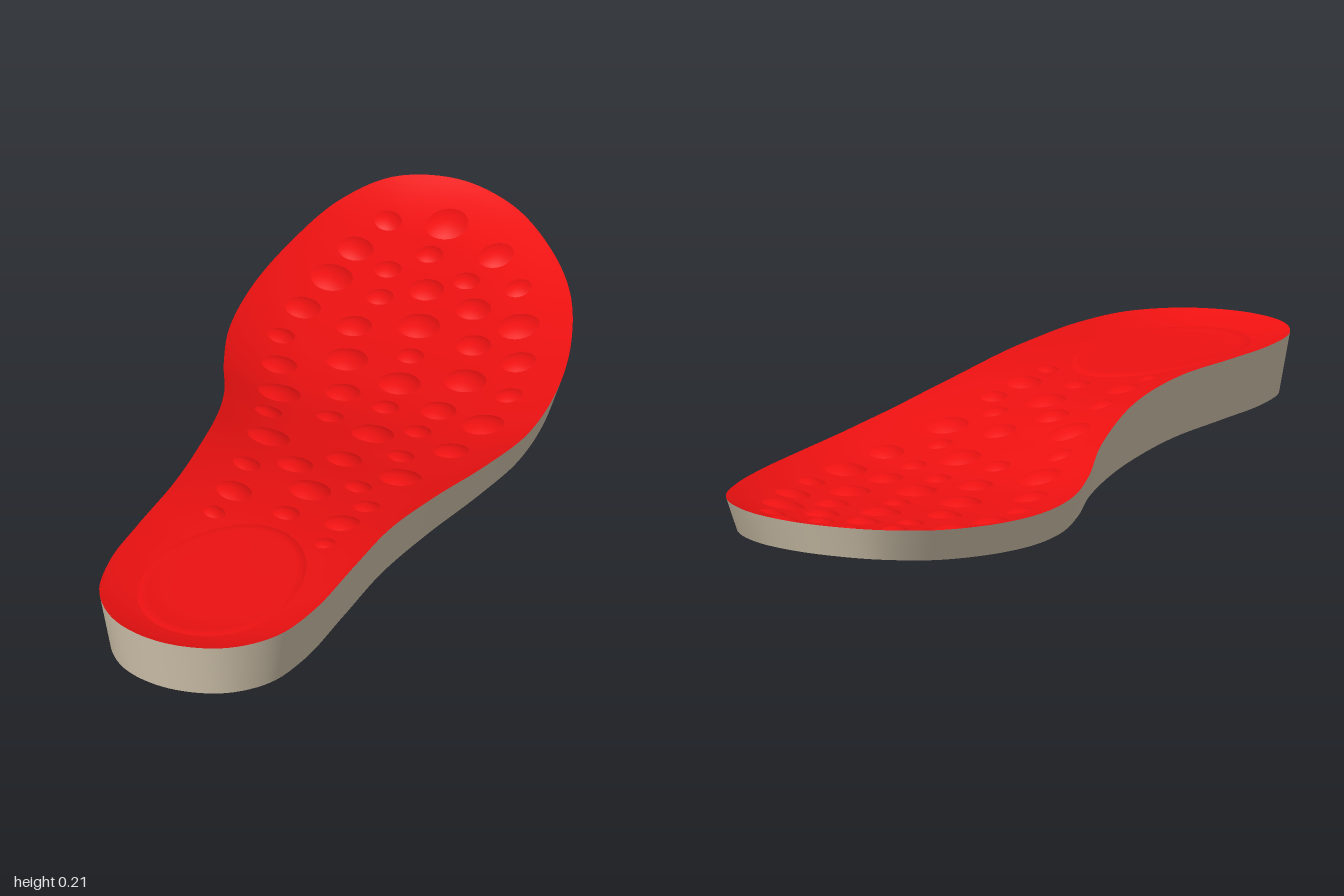
import * as THREE from 'three';

const SEG = 240;
const V = (x, y, z) => new THREE.Vector3(x, y, z);

// Smooth function of z through evenly or unevenly spaced samples
function profile(zs, values) {
  const f = new THREE.CubicInterpolant(zs, values, 1);
  return z => f.evaluate(THREE.MathUtils.clamp(z, zs[0], zs[zs.length - 1]))[0];
}

const Z = [-1, -0.8, -0.6, -0.4, -0.2, 0, 0.2, 0.4, 0.6, 0.8, 1];
const rimLeft = profile(Z, [0.13, 0.108, 0.094, 0.09, 0.098, 0.125, 0.16, 0.19, 0.204, 0.21, 0.213]);
const rimRight = profile(Z, [0.13, 0.108, 0.094, 0.091, 0.106, 0.147, 0.188, 0.205, 0.208, 0.21, 0.213]);
const baseEdge = profile(Z, [0.065, 0.04, 0.024, 0.017, 0.022, 0.036, 0.053, 0.067, 0.075, 0.08, 0.086]);
const spineX = profile([-0.8, -0.5, -0.2, 0, 0.3, 0.75], [-0.09, -0.02, 0.03, 0.07, 0.085, 0.09]);
const halfWidth = profile([-0.9, -0.5, -0.2, 0, 0.4, 0.9], [0.3, 0.36, 0.35, 0.295, 0.238, 0.22]);

// Foot outline, from the toe tip round the left side to the heel and back
const OUTLINE = [
  [-0.14, -1], [0, -0.965], [0.13, -0.87], [0.24, -0.74], [0.32, -0.57], [0.365, -0.4],
  [0.383, -0.22], [0.37, -0.05], [0.345, 0.15], [0.328, 0.35], [0.329, 0.55], [0.326, 0.75],
  [0.295, 0.88], [0.215, 0.967], [0.09, 1], [-0.03, 0.967], [-0.11, 0.88], [-0.144, 0.75],
  [-0.148, 0.6], [-0.147, 0.42], [-0.165, 0.25], [-0.195, 0.1], [-0.24, -0.04], [-0.305, -0.18],
  [-0.36, -0.33], [-0.385, -0.5], [-0.377, -0.68], [-0.34, -0.85], [-0.265, -0.96]
];
const curve = new THREE.CatmullRomCurve3(OUTLINE.map(([x, z]) => V(x, 0, z)), true);
const topOutline = [], baseOutline = [];
for (let i = 0; i < SEG; i++) {
  const p = curve.getPointAt(i / SEG), t = curve.getTangentAt(i / SEG);
  topOutline.push(p);
  baseOutline.push(V(p.x - t.z * 0.023, 0, p.z + t.x * 0.023));
}

const edgeDistance = (outline, x, z) =>
  Math.sqrt(outline.reduce((m, p) => Math.min(m, (p.x - x) ** 2 + (p.z - z) ** 2), 9));

// Dished footbed: rim heights blended across, sinking away from the rim
function topY(x, z) {
  const side = THREE.MathUtils.smoothstep((x - spineX(z)) / halfWidth(z), -1, 1);
  const rim = THREE.MathUtils.lerp(rimRight(z), rimLeft(z), side);
  const d = edgeDistance(topOutline, x, z);
  return rim - 0.03 * (1 - (1 - Math.min(d / 0.17, 1)) ** 2);
}

// Gently bulging underside
function baseY(x, z) {
  const d = edgeDistance(baseOutline, x, z);
  return baseEdge(z) - 0.016 * (1 - (1 - Math.min(d / 0.3, 1)) ** 2);
}

// Skin between closed rings of points
function loft(rings, flip = false) {
  const n = rings[0].length, pos = [], index = [];
  for (const ring of rings) for (const p of ring) pos.push(p.x, p.y, p.z);
  for (let j = 0; j < rings.length - 1; j++) {
    for (let i = 0; i < n; i++) {
      const a = j * n + i, b = j * n + (i + 1) % n, c = a + n, d = b + n;
      if (flip) index.push(a, c, b, b, c, d);
      else index.push(a, b, c, b, d, c);
    }
  }
  const g = new THREE.BufferGeometry();
  g.setAttribute('position', new THREE.Float32BufferAttribute(pos, 3));
  g.setIndex(index);
  g.computeVertexNormals();
  return g;
}

// Rings from the foot's centreline out to an outline
function footRings(outline, height, count) {
  return Array.from({ length: count + 1 }, (_, j) => outline.map(p => {
    const t = j / count, cz = p.z * 0.72;
    const x = THREE.MathUtils.lerp(spineX(cz), p.x, t), z = THREE.MathUtils.lerp(cz, p.z, t);
    return V(x, height(x, z), z);
  }));
}

// Low raised shape following the footbed; shape(angle) gives its edge offset
function raised(cx, cz, shape, rise, segments, count) {
  const rings = [];
  for (let j = 0; j <= count; j++) {
    const t = j / count;
    rings.push(Array.from({ length: segments }, (_, i) => {
      const [ox, oz] = shape(i / segments * Math.PI * 2);
      const x = cx + ox * t, z = cz + oz * t;
      return V(x, topY(x, z) + rise(t), z);
    }));
  }
  return loft(rings);
}

// Massage nubs grouped by radius, as [x, z]
const NUBS = [
  { r: 0.047, at: [[-0.11, -0.885], [-0.26, -0.63], [-0.02, -0.545], [0.175, -0.62], [0.155, -0.395],
    [-0.105, -0.365], [0.035, -0.325], [0.265, -0.245], [-0.165, -0.155], [0.08, -0.09],
    [-0.085, 0.075], [0.22, 0.075], [0.09, 0.25]] },
  { r: 0.04, at: [[0.03, -0.825], [-0.255, -0.74], [-0.06, -0.67], [0.06, -0.645], [-0.27, -0.505],
    [-0.145, -0.49], [0.115, -0.525], [0.23, -0.5], [-0.22, -0.275], [-0.055, -0.235], [0.155, -0.26],
    [0.255, -0.105], [0.015, 0.16], [-0.04, 0.35], [0.21, 0.35], [0.085, 0.065]] },
  { r: 0.031, at: [[-0.23, -0.85], [-0.105, -0.785], [-0.165, -0.705], [-0.14, -0.61], [0.005, -0.73],
    [0.12, -0.74], [0.01, -0.435], [-0.265, -0.385], [0.265, -0.375], [0.05, -0.22], [0.155, -0.155],
    [-0.03, -0.115], [-0.14, -0.045], [0.175, -0.025], [0.165, 0.17], [-0.065, 0.23], [0.22, 0.25],
    [0.09, 0.37]] },
  { r: 0.025, at: [[-0.04, 0.45], [0.215, 0.45]] }
];

export function createModel() {
  const group = new THREE.Group();
  const red = new THREE.MeshStandardMaterial({ color: 0xee1111 });
  const beige = new THREE.MeshStandardMaterial({ color: 0xd8cab2 });
  const add = (name, geometry, material, parent = group) => {
    const mesh = new THREE.Mesh(geometry, material);
    mesh.name = name;
    parent.add(mesh);
  };

  // Footbed and underside
  const topRings = footRings(topOutline, topY, 24);
  const baseRings = footRings(baseOutline, baseY, 12);
  add('footbed', loft(topRings), red);
  add('underside', loft(baseRings, true), beige);

  // Side wall, tapering in towards the ground
  const rim = topRings[24], edge = baseRings[12];
  const wall = [0, 0.5, 1].map(t => rim.map((p, i) => p.clone().lerp(edge[i], t)));
  add('sideWall', loft(wall), beige);

  // Egg-shaped heel pad
  const egg = a => [0.165 * Math.cos(a) * (1 + 0.1 * Math.sin(a)), 0.245 * Math.sin(a)];
  add('heelPad', raised(0.09, 0.68, egg, t => (t > 0.99 ? -0.002 : 0.004), 64, 16), red);

  // Massage nubs
  const nubs = new THREE.Group();
  nubs.name = 'massageNubs';
  for (const { r, at } of NUBS) {
    const circle = a => [r * Math.cos(a), r * Math.sin(a)];
    for (const [x, z] of at) {
      add('massageNub', raised(x, z, circle, t => 0.28 * r * (1 - t * t) - 0.001, 24, 5), red, nubs);
    }
  }
  group.add(nubs);
  return group;
}
